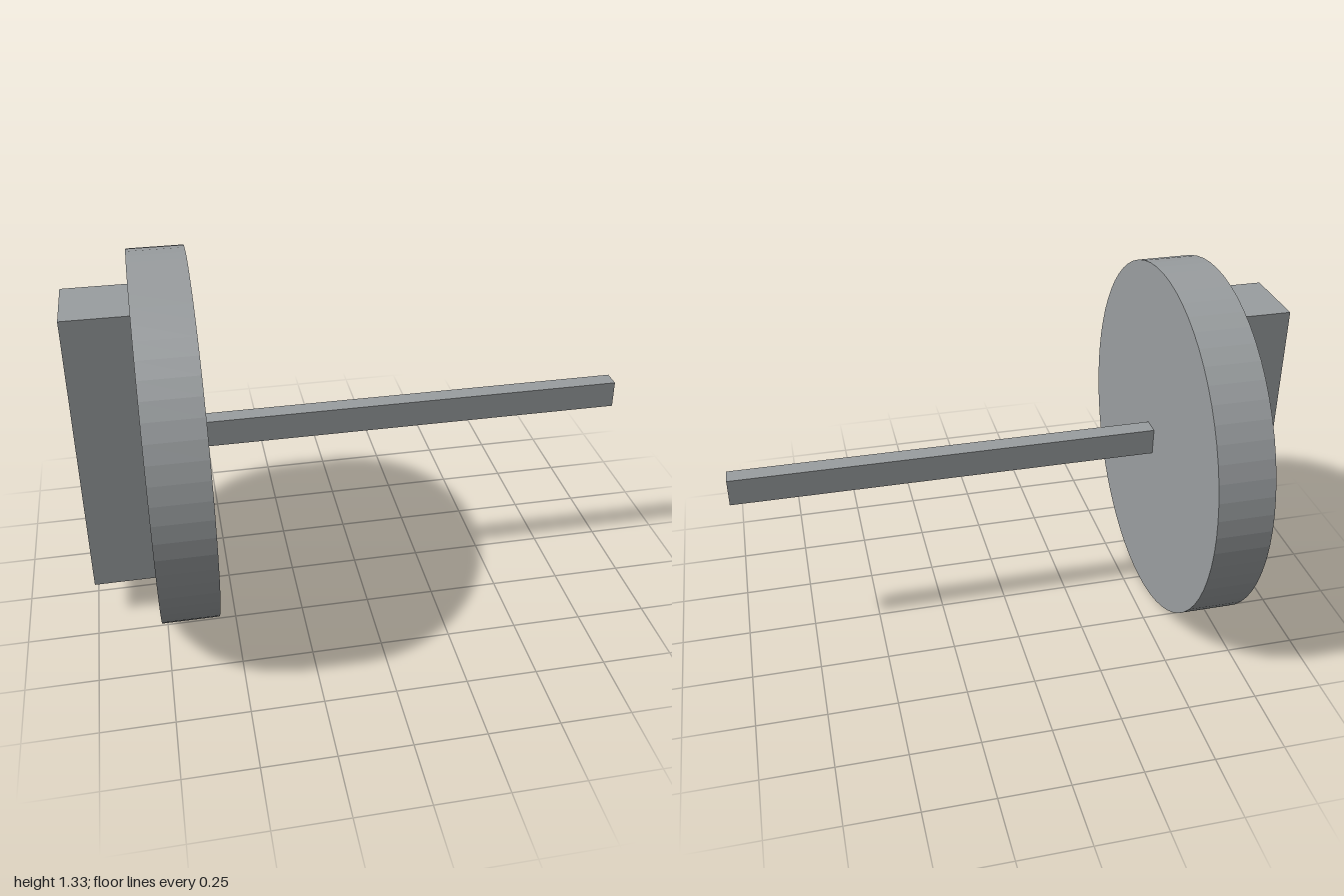
import * as THREE from 'three';

const material = new THREE.MeshStandardMaterial({ color: 0x9a9ea0, flatShading: true });
const axisY = 0.666;

function addPart(group, name, geometry, x) {
  const mesh = new THREE.Mesh(geometry, material);
  mesh.name = name;
  mesh.position.set(x, axisY, 0);
  group.add(mesh);
}

export function createModel() {
  const group = new THREE.Group();
  group.name = 'latchKnob';

  // Round plate, its axis along x
  const disc = new THREE.CylinderGeometry(0.666, 0.666, 0.2, 64).rotateZ(Math.PI / 2);
  addPart(group, 'disc', disc, -0.667);

  // Upright grip on the outer face
  addPart(group, 'grip', new THREE.BoxGeometry(0.233, 1.067, 0.267), -0.8835);

  // Long flat spindle on the inner face
  addPart(group, 'spindle', new THREE.BoxGeometry(1.567, 0.1, 0.066), 0.2165);

  return group;
}
